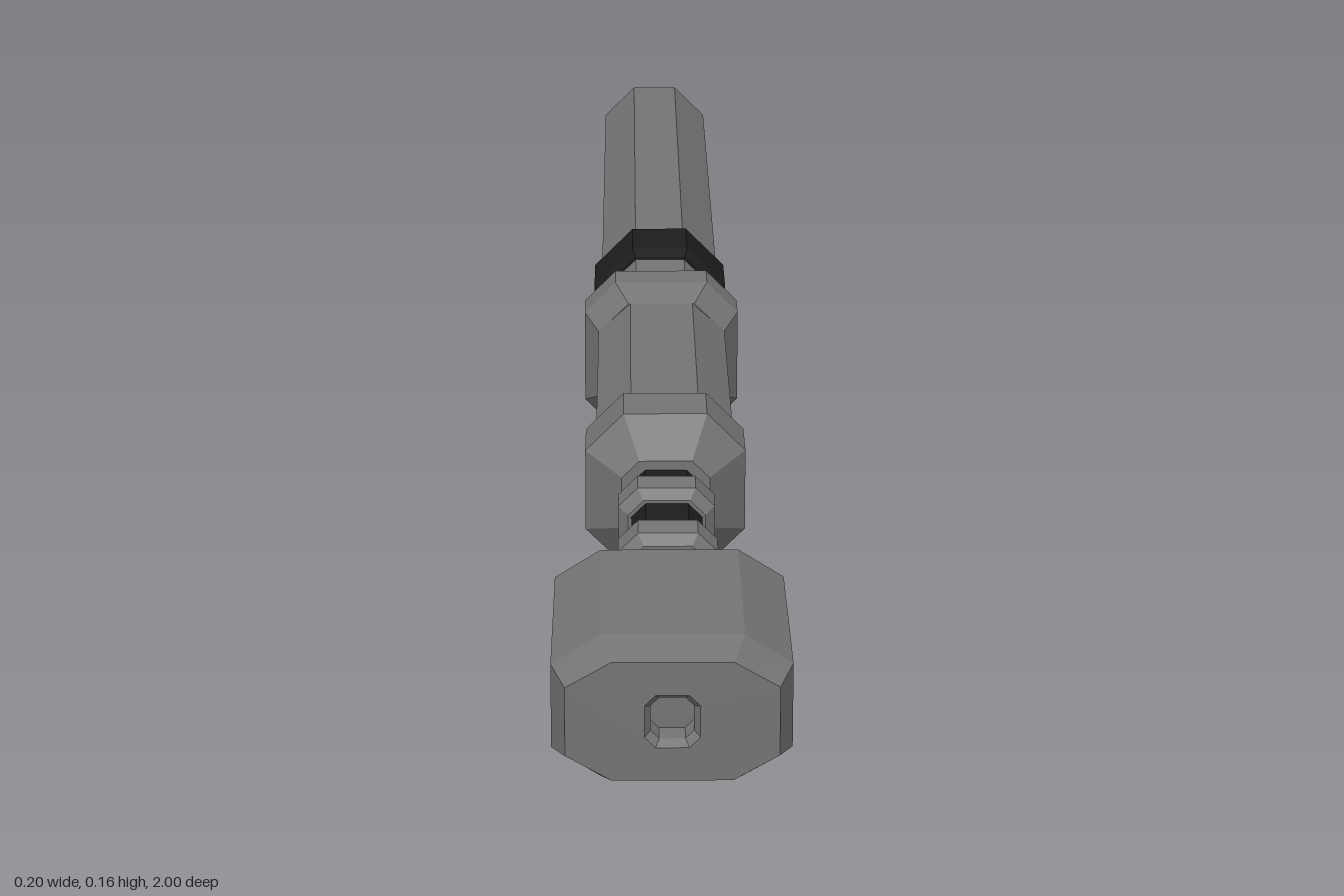
import * as THREE from 'three';

// Double-sided because the sleeve and muzzle are open shells
const gray = new THREE.MeshStandardMaterial({ color: 0x747474, side: THREE.DoubleSide });
gray.name = 'steel gray';
const black = new THREE.MeshStandardMaterial({ color: 0x1c1c1c });
black.name = 'matte black';

const AXIS_Y = 0.0825;

// Eight-sided cross-section: half width w, half height h,
// half length of the top flat fx and of the side flat fy
function ring([z, w, h = w, fx = w * 0.414, fy = h * 0.414]) {
  return [[w, -fy], [w, fy], [fx, h], [-fx, h], [-w, fy], [-w, -fy], [-fx, -h], [fx, -h]]
    .map(([x, y]) => new THREE.Vector3(x, y, z));
}

// Square cross-section with clipped corners
const clipped = (z, r) => [z, r, r, r * 0.6, r * 0.6];

// Joins cross-sections along z with flat faces; openSides leaves out both side flats
function loft(sections, { caps = true, openSides = false } = {}) {
  const rings = sections.map(ring);
  const pts = [];
  for (let s = 0; s < rings.length - 1; s++) {
    const a = rings[s], b = rings[s + 1];
    for (let i = 0; i < 8; i++) {
      if (openSides && i % 4 === 0) continue;
      const j = (i + 1) % 8;
      pts.push(a[i], a[j], b[j], a[i], b[j], b[i]);
    }
  }
  if (caps) {
    const a = rings[0], b = rings[rings.length - 1];
    for (let i = 1; i < 7; i++) pts.push(a[0], a[i + 1], a[i], b[0], b[i], b[i + 1]);
  }
  const geo = new THREE.BufferGeometry().setFromPoints(pts);
  geo.computeVertexNormals();
  return geo;
}

export function createModel() {
  const model = new THREE.Group();
  const add = (name, geo, material = gray) => {
    const mesh = new THREE.Mesh(geo, material);
    mesh.name = name;
    mesh.position.y = AXIS_Y;
    model.add(mesh);
  };
  // Mirrored upright strips closing parts of an open side, from z0 to z1
  const addPosts = (name, x, halfHeight, z0, z1) => {
    for (const side of [1, -1]) {
      const post = new THREE.BoxGeometry(0.006, halfHeight * 2, z1 - z0);
      post.translate(side * (x - 0.003), 0, (z0 + z1) / 2);
      add(name, post);
    }
  };

  // Rear tube and black band
  add('rearTube', loft([[-1, 0.065, 0.064], [-0.03, 0.065, 0.064]]));
  add('blackBand', loft([
    [-0.267, 0.066], [-0.255, 0.073], [-0.172, 0.073], [-0.158, 0.066],
  ]), black);

  // Wide chamfered collar
  add('collar', loft([
    [-0.075, 0.065, 0.065, 0.035, 0.035], [-0.05, 0.082, 0.082, 0.049, 0.049],
    [-0.005, 0.082, 0.082, 0.049, 0.049], [0.025, 0.067, 0.067, 0.035, 0.036],
  ]));

  // Slotted sleeve with a post on each side between the slots
  const sleeve = [0.067, 0.067, 0.033, 0.037];
  add('sleeve', loft([[0, ...sleeve], [0.35, ...sleeve]], { caps: false, openSides: true }));
  addPosts('sleevePost', 0.067, 0.037, 0.155, 0.215);
  add('sleeveHead', loft([
    [0.338, 0.067, 0.067, 0.033, 0.036], [0.365, 0.077, 0.077, 0.04, 0.04],
    [0.43, 0.077, 0.077, 0.04, 0.04], clipped(0.468, 0.042),
  ]));

  // Inner core, running out as the thinner neck
  add('innerCore', loft([
    clipped(0, 0.037), clipped(0.4, 0.037), clipped(0.4, 0.033), clipped(0.75, 0.033),
  ]), black);
  for (const z of [0.536, 0.658]) {
    add('neckRing', loft([
      clipped(z - 0.027, 0.036), clipped(z - 0.017, 0.045),
      clipped(z + 0.017, 0.045), clipped(z + 0.027, 0.036),
    ]));
  }
  add('neckFlare', loft([clipped(0.72, 0.035), clipped(0.745, 0.045), clipped(0.795, 0.045)]));

  // Muzzle: top and bottom plates, rear posts, baffle and front block with a shallow bore
  const muzzle = [0.1, 0.0625, 0.06, 0.037];
  add('muzzlePlates', loft([[0.765, ...muzzle], [0.945, ...muzzle]], { caps: false, openSides: true }));
  addPosts('muzzleRearPost', 0.1, 0.037, 0.765, 0.797);
  add('muzzleBaffle', loft([[0.85, ...muzzle], [0.885, ...muzzle]]));
  add('muzzleFront', loft([
    [0.94, ...muzzle], [0.965, ...muzzle], [1, 0.088, 0.052, 0.05, 0.03],
    clipped(1, 0.023), clipped(0.992, 0.018), clipped(0.97, 0.018),
  ]));

  return model;
}
